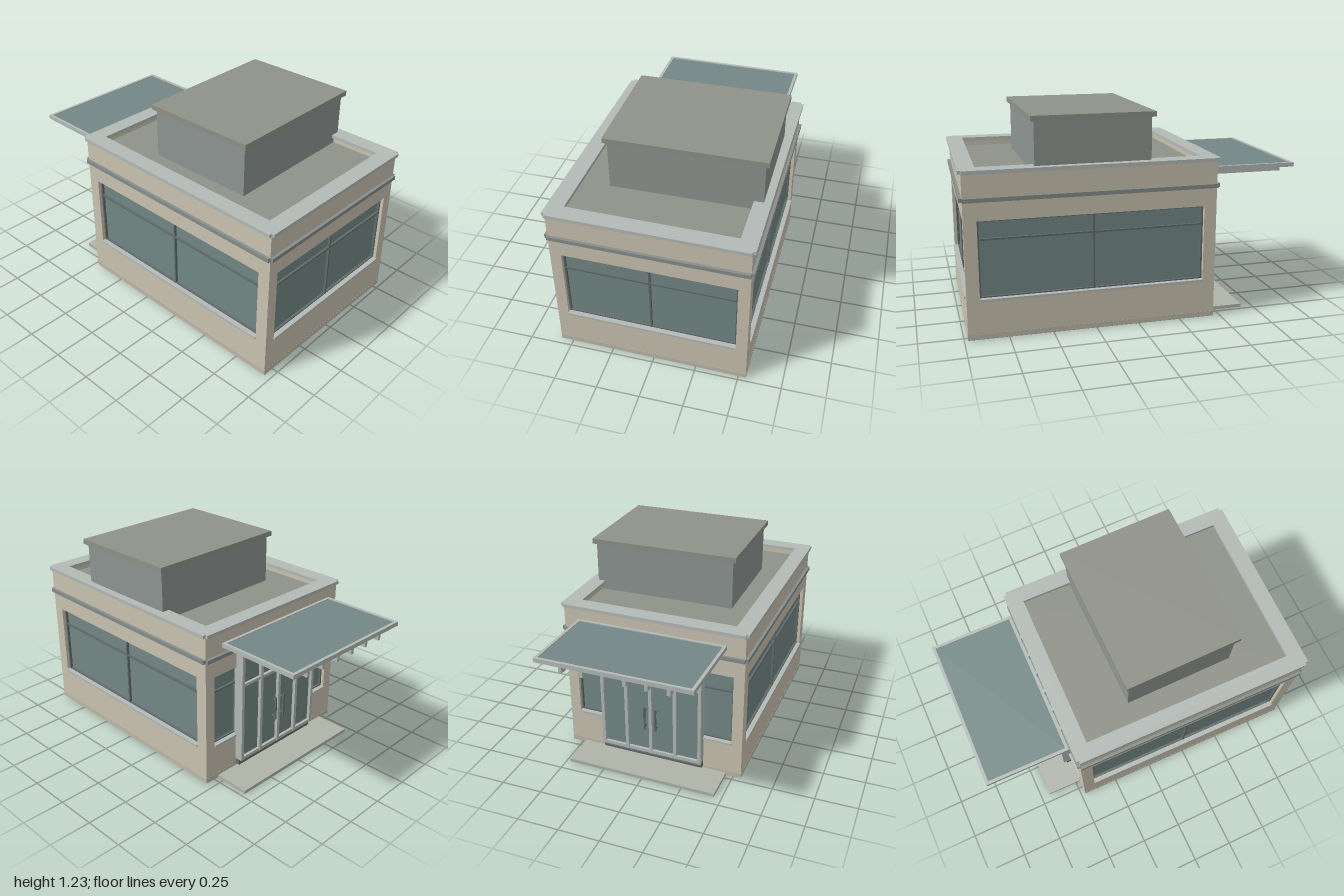
import * as THREE from 'three';

const mat = (color, extra = {}) => new THREE.MeshStandardMaterial({ color, ...extra });
const M = {
  wall: mat(0xc9c3b0), plinth: mat(0xbdb8a8), trim: mat(0xb3bab6), band: mat(0x868e8c),
  frame: mat(0x616c6a), glass: mat(0x738886), roof: mat(0x8f9288), box: mat(0x8e9591),
  slab: mat(0xb0b3a8), under: mat(0x707070),
};

// Half sizes of the walls, wall thickness and height
const HW = 0.5575, HD = 0.718, T = 0.06, H = 0.94;
const WIN_Y0 = 0.235, WIN_Y1 = 0.68;

// Box given by its minimum and maximum on each axis
function box(parent, name, material, x0, x1, y0, y1, z0, z1) {
  const mesh = new THREE.Mesh(new THREE.BoxGeometry(x1 - x0, y1 - y0, z1 - z0), material);
  mesh.position.set((x0 + x1) / 2, (y0 + y1) / 2, (z0 + z1) / 2);
  mesh.name = name;
  parent.add(mesh);
  return mesh;
}

// One facade facing +z: wall with opening, glazing, sill, band and cap
function facade(name, half, dist, winHalf, wallHalf, angle) {
  const g = new THREE.Group();
  g.name = name;
  const s = new THREE.Shape();
  s.moveTo(-wallHalf, 0.005).lineTo(wallHalf, 0.005).lineTo(wallHalf, H).lineTo(-wallHalf, H).closePath();
  const hole = new THREE.Path();
  hole.moveTo(-winHalf, WIN_Y0).lineTo(-winHalf, WIN_Y1).lineTo(winHalf, WIN_Y1).lineTo(winHalf, WIN_Y0).closePath();
  s.holes.push(hole);
  const wall = new THREE.Mesh(new THREE.ExtrudeGeometry(s, { depth: T, bevelEnabled: false }), M.wall);
  wall.position.z = dist - T;
  wall.name = 'wall';
  g.add(wall);

  // Window
  const z = dist - 0.035;
  box(g, 'windowGlass', M.glass, -winHalf, winHalf, WIN_Y0, WIN_Y1, z - 0.012, z);
  for (const x of [-winHalf + 0.005, 0, winHalf - 0.005])
    box(g, 'windowMullion', M.frame, x - 0.005, x + 0.005, WIN_Y0, WIN_Y1, z, z + 0.015);
  for (const y of [WIN_Y0 + 0.005, 0.57, WIN_Y1 - 0.005])
    box(g, 'windowRail', M.frame, -winHalf, winHalf, y - 0.005, y + 0.005, z, z + 0.014);
  box(g, 'windowSill', M.trim, -winHalf, winHalf, 0.225, 0.238, z, dist + 0.008);

  // Plinth, cornice band and parapet cap
  box(g, 'plinth', M.plinth, -half, half, 0.005, 0.035, dist - 0.01, dist + 0.001);
  box(g, 'corniceBand', M.band, -half, half, 0.787, 0.81, dist - 0.01, dist + 0.017);
  box(g, 'parapetCap', M.trim, -half, half, H, 0.96, dist - 0.08, dist + 0.017);
  g.rotation.y = angle;
  return g;
}

// Glazed entrance with canopy and step, facing +z from the wall plane z = HD
function entrance() {
  const g = new THREE.Group();
  g.name = 'entrance';
  const w = 0.32, front = HD + 0.05;
  box(g, 'step', M.slab, -0.465, 0.465, 0, 0.02, HD - 0.05, HD + 0.217);
  box(g, 'doorGlass', M.glass, -w + 0.01, w - 0.01, 0.05, 0.8, HD - 0.03, front - 0.02);
  for (let i = 0; i < 5; i++) {
    const x = -w + 0.01 + i * (w - 0.01) / 2;
    box(g, 'post', M.trim, x - 0.01, x + 0.01, 0.07, 0.81, HD - 0.01, front);
  }
  for (const [y0, y1] of [[0.07, 0.09], [0.562, 0.58], [0.785, 0.81]])
    box(g, 'doorRail', M.trim, -w, w, y0, y1, HD - 0.01, front - 0.003);
  box(g, 'threshold', M.frame, -w, w, 0.035, 0.07, HD - 0.01, front - 0.02);
  for (const x of [-0.035, 0.035]) {
    box(g, 'doorHandle', M.frame, x - 0.005, x + 0.005, 0.24, 0.39, front, front + 0.01);
    for (const y of [0.26, 0.37])
      box(g, 'handleMount', M.frame, x - 0.004, x + 0.004, y - 0.005, y + 0.005, front - 0.022, front);
  }

  // Canopy: rimmed frame, pane and beams
  const z0 = HD + 0.022, z1 = HD + 0.527, cw = 0.455, r = 0.018;
  box(g, 'canopyPane', M.glass, -cw + r, cw - r, 0.862, 0.88, z0 + r, z1 - r);
  for (const s of [-1, 1]) {
    const x = s * (cw - r / 2);
    box(g, 'canopyRim', M.trim, x - r / 2, x + r / 2, 0.86, 0.885, z0, z1);
  }
  for (const z of [z0, z1 - r])
    box(g, 'canopyRim', M.trim, -cw + r, cw - r, 0.86, 0.885, z, z + r);
  for (let i = 0; i < 6; i++) {
    const x = -0.31 + i * 0.124;
    box(g, 'canopyBeam', M.trim, x - 0.01, x + 0.01, 0.81, 0.862, HD - 0.01, z1 - 0.022);
  }
  g.rotation.y = Math.PI;
  return g;
}

export function createModel() {
  const model = new THREE.Group();
  model.name = 'pavilion';

  // Main building, turned very slightly
  const building = new THREE.Group();
  building.name = 'building';
  building.position.set(-0.003, 0, 0.2525);
  building.rotation.y = -0.015;
  model.add(building);
  for (const [name, a] of [['frontFacade', 0], ['backFacade', Math.PI]])
    building.add(facade(name, HW, HD, 0.4925, HW, a));
  for (const [name, a] of [['leftFacade', Math.PI / 2], ['rightFacade', -Math.PI / 2]])
    building.add(facade(name, HD, HW, 0.645, HD - T, a));
  box(building, 'floor', M.under, -HW + 0.002, HW - 0.002, 0.003, 0.02, -HD + 0.002, HD - 0.002);
  box(building, 'roof', M.roof, -HW + T, HW - T, 0.88, 0.905, -HD + T, HD - T);
  building.add(entrance());

  // Rooftop plant room
  const plant = new THREE.Group();
  plant.name = 'plantRoom';
  box(plant, 'plantRoomBody', M.box, -0.343, 0.525, 0.9, 1.21, -0.075, 0.585);
  box(plant, 'plantRoomRoof', M.roof, -0.363, 0.545, 1.203, 1.233, -0.095, 0.605);
  model.add(plant);
  return model;
}
